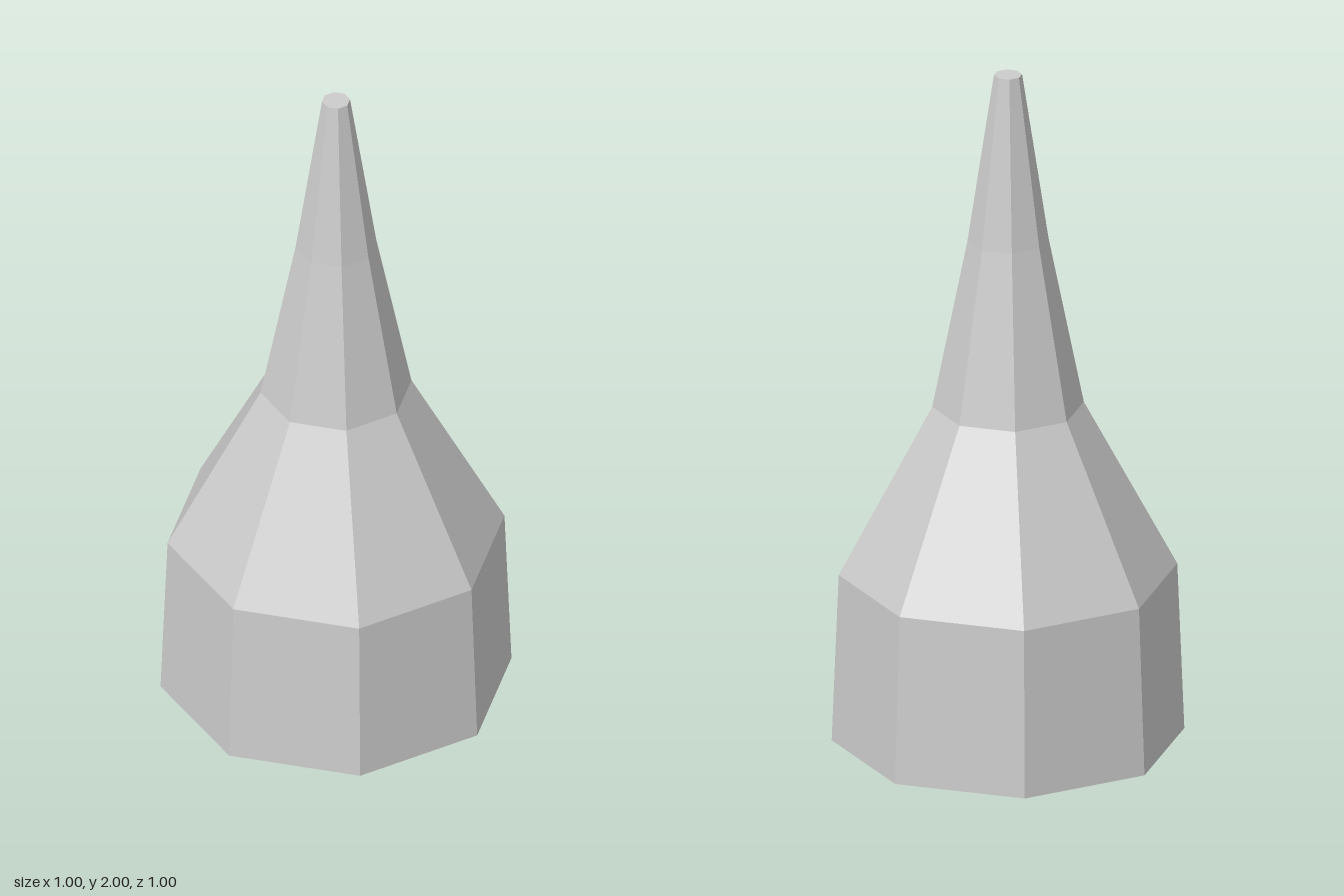
import * as THREE from 'three';

export function createModel() {
  const group = new THREE.Group();
  group.name = 'spire';

  // Closed profile (radius, height) from base centre to tip centre
  const profile = [
    [0, 0], [0.5, 0], [0.48, 0.5], [0.215, 1], [0.115, 1.5], [0.04, 2], [0, 2],
  ].map(([r, y]) => new THREE.Vector2(r, y));

  // Eight-sided faceted body with corners on the axes
  const body = new THREE.Mesh(
    new THREE.LatheGeometry(profile, 8),
    new THREE.MeshStandardMaterial({ color: 0xcccccc, flatShading: true })
  );
  body.name = 'octagonalSpire';
  group.add(body);
  return group;
}
